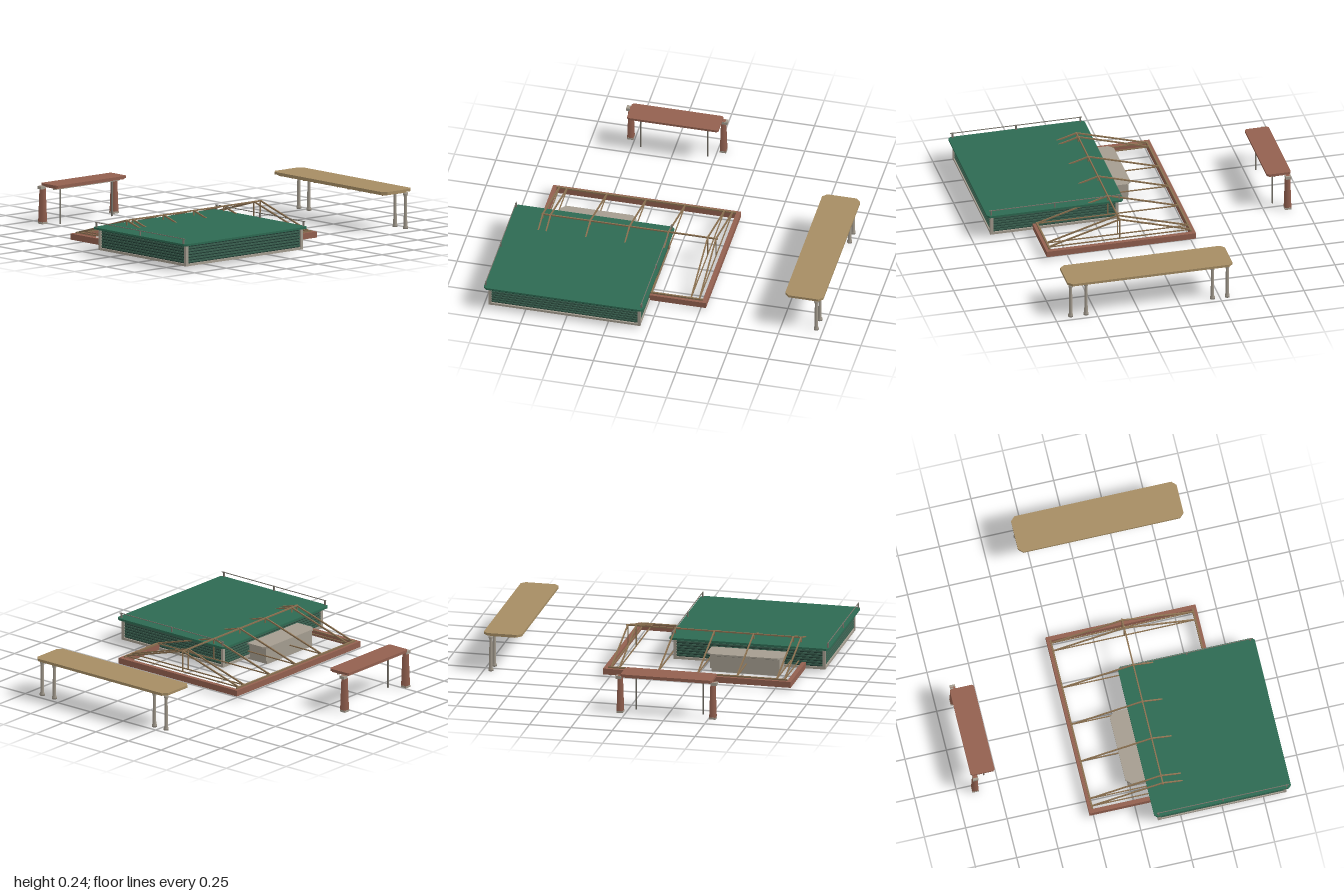
import * as THREE from 'three';

const mat = (name, color) => {
  const m = new THREE.MeshStandardMaterial({ color });
  m.name = name;
  return m;
};

export function createModel() {
  const green = mat('roofGreen', 0x2d6a52), slatGreen = mat('slatGreen', 0x3a6150);
  const dark = mat('darkGap', 0x1f3a31), red = mat('brickRed', 0x93604f);
  const ochre = mat('ochre', 0xa68d63), gray = mat('stoneGray', 0xa59d90);
  const timber = mat('timber', 0x8a7050), steel = mat('steelGray', 0x77736a);
  const model = new THREE.Group();

  const group = (name) => {
    const g = new THREE.Group();
    g.name = name;
    model.add(g);
    return g;
  };
  const put = (parent, name, geo, m) => {
    const mesh = new THREE.Mesh(geo, m);
    mesh.name = name;
    parent.add(mesh);
    return mesh;
  };
  // Box given by its limits on each axis
  const box = (parent, name, m, x0, x1, y0, y1, z0, z1) => {
    const mesh = put(parent, name, new THREE.BoxGeometry(x1 - x0, y1 - y0, z1 - z0), m);
    mesh.position.set((x0 + x1) / 2, (y0 + y1) / 2, (z0 + z1) / 2);
    return mesh;
  };
  // Flat slab with cut corners
  const slab = (parent, name, m, x0, x1, y0, y1, z0, z1, c) => {
    const s = new THREE.Shape([
      [x0 + c, z0], [x1 - c, z0], [x1, z0 + c], [x1, z1 - c],
      [x1 - c, z1], [x0 + c, z1], [x0, z1 - c], [x0, z0 + c],
    ].map(([x, z]) => new THREE.Vector2(x, z)));
    const geo = new THREE.ExtrudeGeometry(s, { depth: y1 - y0, bevelEnabled: false });
    geo.rotateX(Math.PI / 2).translate(0, y1, 0);
    return put(parent, name, geo, m);
  };
  // Square bar between two points
  const bar = (parent, name, m, a, b, w) => {
    const p = new THREE.Vector3(...a), q = new THREE.Vector3(...b);
    const mesh = put(parent, name, new THREE.BoxGeometry(w, w, p.distanceTo(q)), m);
    mesh.position.copy(p).lerp(q, 0.5);
    mesh.lookAt(q);
    return mesh;
  };

  // Main hall: floor, dark core, slatted walls, corner posts
  const hall = group('hall');
  box(hall, 'hallBase', gray, 0.112, 0.888, 0.02, 0.034, 0.052, 0.968);
  box(hall, 'hallCore', dark, 0.122, 0.878, 0.034, 0.146, 0.062, 0.958);
  for (let i = 0; i < 6; i++) {
    const y = 0.04 + i * 0.0165;
    box(hall, 'wallSlat', slatGreen, 0.117, 0.883, y, y + 0.01, 0.057, 0.963);
  }
  for (const x of [0.12, 0.88]) for (const z of [0.06, 0.96])
    box(hall, 'cornerPost', gray, x - 0.009, x + 0.009, 0.02, 0.146, z - 0.009, z + 0.009);
  slab(hall, 'roofSlab', green, 0.085, 0.912, 0.145, 0.157, 0.03, 0.995, 0.016);

  // Rails along the front and back roof edges
  const rails = group('roofRails');
  for (const z of [0.045, 0.985]) {
    bar(rails, 'railTop', steel, [0.1, 0.186, z], [0.9, 0.186, z], 0.004);
    for (const x of [0.11, 0.5, 0.885])
      box(rails, 'railPost', steel, x - 0.004, x + 0.004, 0.155, 0.188, z - 0.004, z + 0.004);
  }

  // Low annex running under the hall
  const annex = group('annex');
  box(annex, 'annexFoundation', gray, -0.01, 0.73, 0, 0.022, 0.31, 0.72);
  box(annex, 'annexWalls', gray, -0.01, 0.2, 0.02, 0.105, 0.3, 0.72);
  slab(annex, 'annexRoof', gray, -0.026, 0.2, 0.102, 0.112, 0.28, 0.742, 0.03);
  for (let i = 0; i < 4; i++) {
    const z = 0.34 + i * 0.095;
    box(annex, 'annexPanel', steel, -0.013, -0.009, 0.096, 0.101, z, z + 0.06);
  }

  // Rectangular curb
  const curb = group('curbFrame');
  for (const x of [-0.262, 0.618])
    box(curb, 'sideCurb', red, x - 0.013, x + 0.013, 0.02, 0.056, -0.285, 0.85);
  for (const z of [-0.272, 0.837])
    box(curb, 'endCurb', red, -0.249, 0.605, 0.02, 0.056, z - 0.013, z + 0.013);
  for (const x of [-0.252, 0.608])
    box(curb, 'wallPlate', timber, x - 0.005, x + 0.005, 0.055, 0.065, -0.26, 0.825);

  // Open roof trusses with a shared ridge
  const trusses = group('trusses');
  const left = -0.252, right = 0.608, ridge = 0.178;
  bar(trusses, 'ridgeBeam', timber, [ridge, 0.187, -0.25], [ridge, 0.187, 0.815], 0.008);
  for (const z of [-0.24, -0.19, 0.047, 0.283, 0.52, 0.76, 0.807]) {
    bar(trusses, 'leftRafter', timber, [left, 0.062, z], [ridge, 0.188, z], 0.008);
    bar(trusses, 'rightRafter', timber, [ridge, 0.188, z], [right, 0.062, z], 0.008);
    bar(trusses, 'tieBeam', timber, [left, 0.061, z], [right, 0.061, z], 0.006);
    bar(trusses, 'kingPost', timber, [ridge, 0.061, z], [ridge, 0.188, z], 0.006);
  }

  // Long canopy on four columns behind
  const canopy = group('longCanopy');
  slab(canopy, 'canopyTop', ochre, -0.322, 0.678, 0.225, 0.24, -1, -0.77, 0.026);
  slab(canopy, 'canopySoffit', ochre, -0.305, 0.661, 0.217, 0.225, -0.985, -0.785, 0.026);
  for (let i = 0; i < 10; i++) {
    const x = -0.27 + i * 0.1;
    box(canopy, 'soffitRib', timber, x - 0.004, x + 0.004, 0.212, 0.218, -0.975, -0.795);
  }
  const profile = [[0, 0], [0.015, 0], [0.015, 0.012], [0.011, 0.02], [0.009, 0.19], [0.014, 0.205], [0.014, 0.218], [0, 0.218]]
    .map(([r, y]) => new THREE.Vector2(r, y));
  for (const x of [-0.295, -0.205, 0.562, 0.655])
    put(canopy, 'canopyColumn', new THREE.LatheGeometry(profile, 12), gray).position.set(x, 0, -0.958);

  // Small red shelter with tapered end piers
  const shelter = group('redShelter');
  slab(shelter, 'shelterTop', red, -0.915, -0.77, 0.226, 0.24, -0.03, 0.522, 0.01);
  for (const [z, s] of [[-0.035, -1], [0.525, 1]]) {
    const pier = new THREE.CylinderGeometry(0.018, 0.027, 0.226, 4);
    pier.rotateY(Math.PI / 4);
    put(shelter, 'pier', pier, red).position.set(-0.892, 0.113, z);
    box(shelter, 'pierFoot', gray, -0.912, -0.872, 0, 0.012, z - 0.02, z + 0.02);
    box(shelter, 'pierCap', gray, -0.908, -0.876, 0.208, 0.226, z - 0.018 + s * 0.008, z + 0.018 + s * 0.008);
  }
  box(shelter, 'shelterBeam', gray, -0.826, -0.814, 0.207, 0.218, -0.01, 0.5);
  box(shelter, 'shelterSoffit', red, -0.905, -0.785, 0.218, 0.227, -0.02, 0.512);
  for (const z of [0.045, 0.45])
    box(shelter, 'thinPost', steel, -0.824, -0.816, 0, 0.21, z - 0.004, z + 0.004);

  return model;
}
